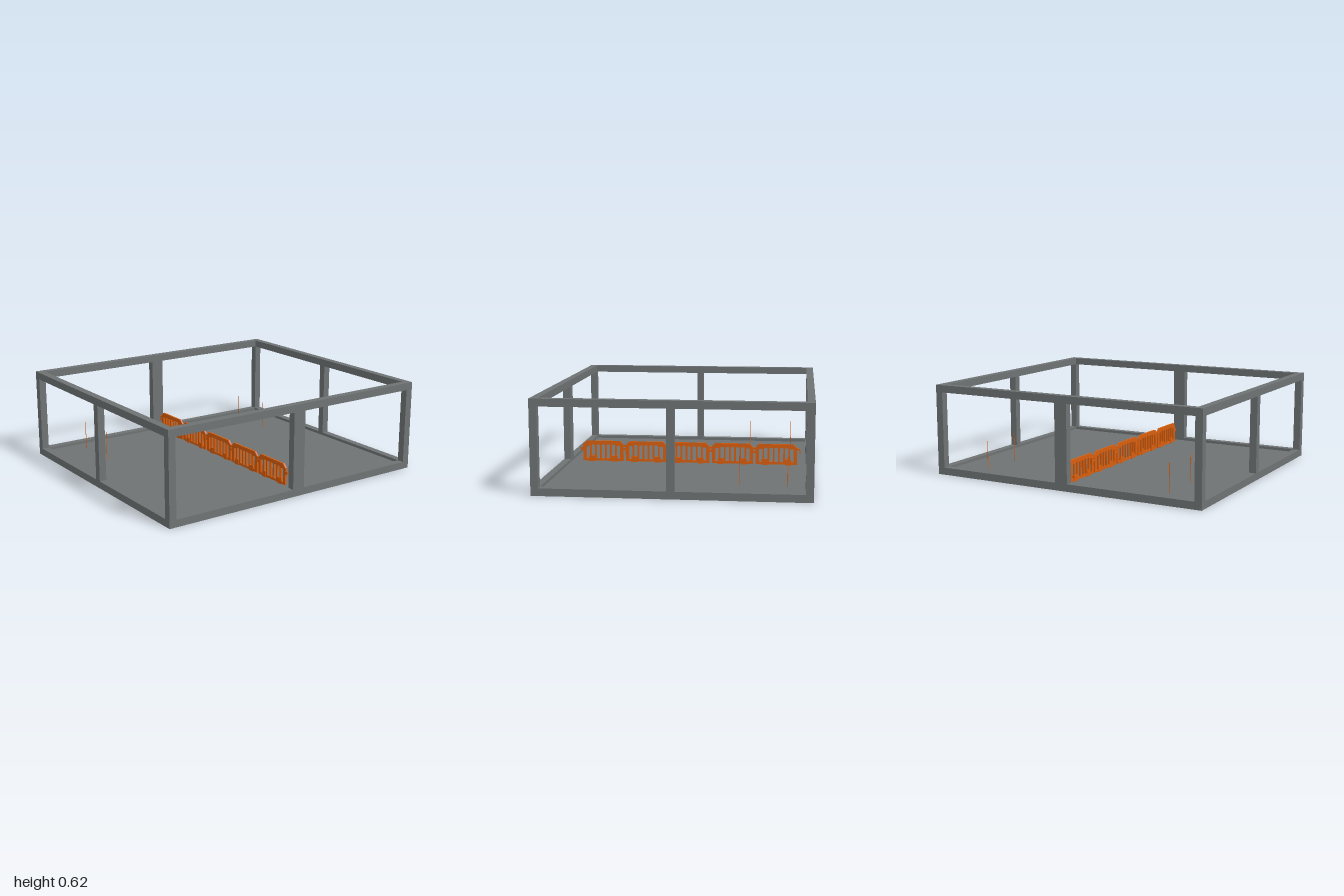
import * as THREE from 'three';

const frameGrey = new THREE.MeshStandardMaterial({ color: 0x6f7373 });
frameGrey.name = 'frame grey';
const barrierOrange = new THREE.MeshStandardMaterial({ color: 0xd95f0e });
barrierOrange.name = 'barrier orange';

const W = 1, D = 0.895, H = 0.625, T = 0.05;   // half width, half depth, height, beam thickness

function add(parent, name, geometry, material, x = 0, y = 0, z = 0) {
  const mesh = new THREE.Mesh(geometry, material);
  mesh.name = name;
  mesh.position.set(x, y, z);
  parent.add(mesh);
  return mesh;
}
const box = (parent, name, material, w, h, d, x, y, z) =>
  add(parent, name, new THREE.BoxGeometry(w, h, d), material, x, y, z);

// Flat rectangular ring of beams
function ringGeometry() {
  const s = new THREE.Shape([[-W, -D], [W, -D], [W, D], [-W, D]].map(p => new THREE.Vector2(...p)));
  const w = W - T, d = D - T;
  s.holes.push(new THREE.Path([[-w, -d], [-w, d], [w, d], [w, -d]].map(p => new THREE.Vector2(...p))));
  return new THREE.ExtrudeGeometry(s, { depth: T, bevelEnabled: false }).rotateX(-Math.PI / 2);
}

// Barrier panel: chamfered outline with a row of upright slots, lying in the z-y plane
function panelGeometry() {
  const e = 0.148, thick = 0.013;
  const s = new THREE.Shape([
    [-e, 0.035], [e, 0.035], [e, 0.155], [e - 0.026, 0.181], [-e + 0.026, 0.181], [-e, 0.155],
  ].map(p => new THREE.Vector2(...p)));
  for (let i = -3; i <= 3; i++) {
    const c = i * 0.037, h = 0.0125, top = Math.abs(i) === 3 ? 0.146 : 0.154;
    s.holes.push(new THREE.Path([
      [c - h, 0.052], [c - h, top - 0.004], [c - h + 0.004, top],
      [c + h - 0.004, top], [c + h, top - 0.004], [c + h, 0.052],
    ].map(p => new THREE.Vector2(...p))));
  }
  return new THREE.ExtrudeGeometry(s, { depth: thick, bevelEnabled: false })
    .translate(0, 0, -thick / 2).rotateY(-Math.PI / 2);
}

export function createModel() {
  const model = new THREE.Group();
  model.name = 'fenced hall';

  // Frame: two rings, corner posts and middle posts
  const frame = new THREE.Group();
  frame.name = 'frame';
  model.add(frame);
  const ring = ringGeometry();
  add(frame, 'bottomRing', ring, frameGrey);
  add(frame, 'topRing', ring, frameGrey, 0, H - T, 0);
  const postH = H - 2 * T, midY = H / 2;
  for (const s of [-1, 1]) {
    for (const t of [-1, 1]) {
      box(frame, 'cornerPost', frameGrey, T, postH, T, s * (W - T / 2), midY, t * (D - T / 2));
    }
    box(frame, 'middlePost', frameGrey, 0.09, postH, T, 0, midY, s * (D - T / 2));
    box(frame, 'sidePost', frameGrey, T, postH, T, s * (W - T / 2), midY, 0);
  }
  box(model, 'floor', frameGrey, 2 * (W - T), 0.005, 2 * (D - T), 0, 0.0275, 0);

  // Row of linked barriers along the middle
  const panel = panelGeometry();
  for (let i = 0; i < 5; i++) {
    const barrier = new THREE.Group();
    barrier.name = 'barrier';
    barrier.position.z = 0.615 - i * 0.313;
    model.add(barrier);
    add(barrier, 'panel', panel, barrierOrange);
    for (const s of [-1, 1]) {
      box(barrier, 'foot', barrierOrange, 0.016, 0.05, 0.042, 0, 0.047, s * 0.084);
    }
    box(barrier, 'linkStub', barrierOrange, 0.01, 0.016, 0.022, 0, 0.123, 0.157);
    box(barrier, 'linkArm', barrierOrange, 0.01, 0.012, 0.024, 0, 0.146, -0.157);
    box(barrier, 'linkHook', barrierOrange, 0.01, 0.03, 0.008, 0, 0.129, -0.167);
  }

  // Thin upright poles near the back
  const pole = new THREE.CylinderGeometry(0.002, 0.002, 0.205, 8);
  for (const x of [-0.7, 0.7]) {
    for (const z of [-0.415, -0.73]) add(model, 'pole', pole, barrierOrange, x, 0.1305, z);
  }
  return model;
}
